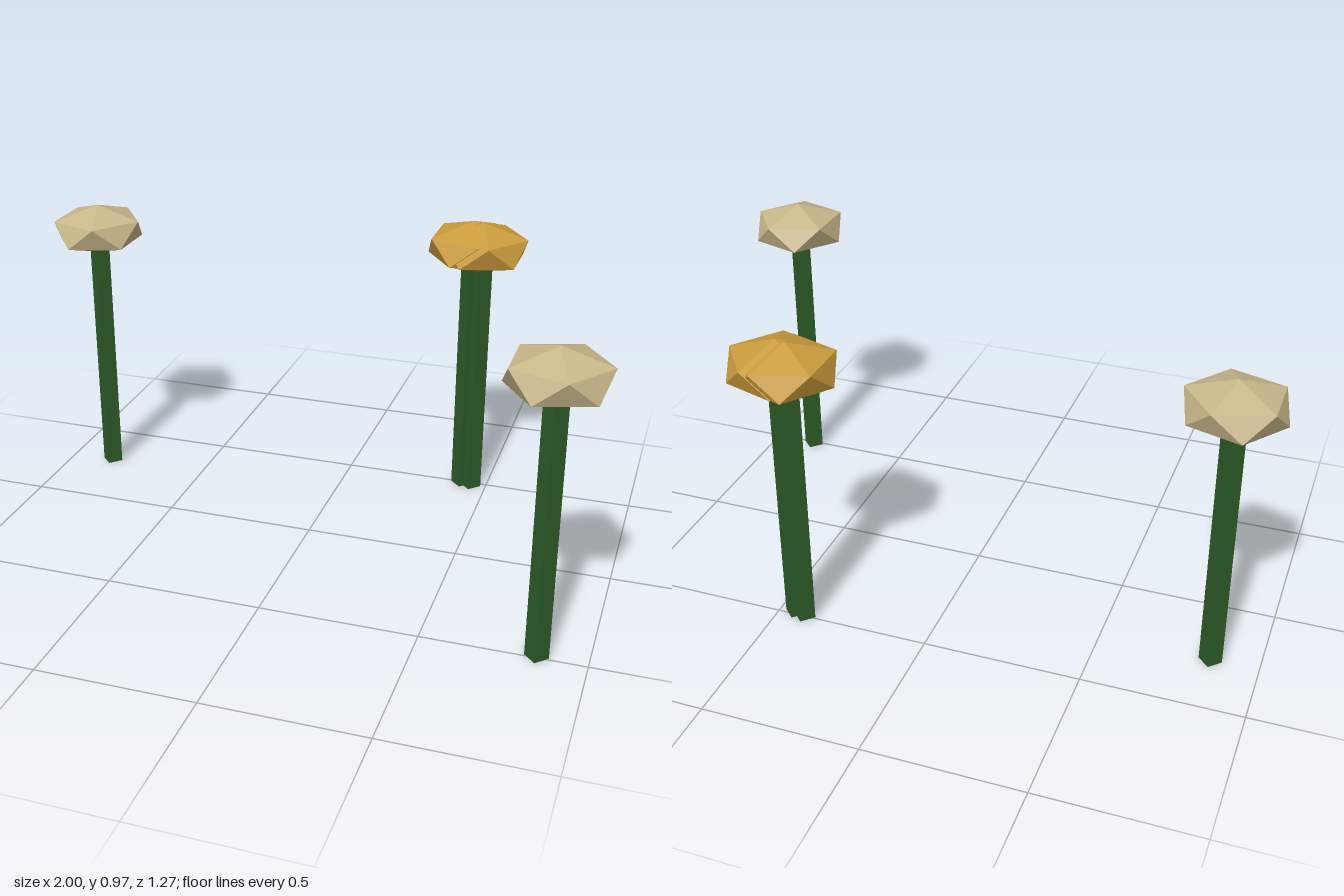
import * as THREE from 'three';

export function createModel() {
  const model = new THREE.Group();
  model.name = 'flowers';

  const mat = (name, color) => {
    const m = new THREE.MeshStandardMaterial({ color, flatShading: true });
    m.name = name;
    return m;
  };
  const green = mat('stem green', 0x2d5a27);
  const cream = mat('cream', 0xc8b78a);
  const gold = mat('gold', 0xcc9c3c);

  // Four-sided stem with its corners on the x and z axes
  const stemHeight = 0.85;
  const stemGeo = new THREE.CylinderGeometry(0.036, 0.036, stemHeight, 4);
  stemGeo.translate(0, stemHeight / 2, 0);

  // Squashed icosahedron head, turned to stand on one of its corners
  const golden = (1 + Math.sqrt(5)) / 2;
  const headGeo = new THREE.IcosahedronGeometry(0.1675, 0);
  headGeo.rotateZ(-Math.atan(1 / golden));
  headGeo.scale(1, 0.5, 1);
  headGeo.translate(0, 0.887, 0);

  const addFlower = (name, x, z, headMaterial) => {
    const flower = new THREE.Group();
    flower.name = name;
    const stem = new THREE.Mesh(stemGeo, green);
    stem.name = 'stem';
    const head = new THREE.Mesh(headGeo, headMaterial);
    head.name = 'flowerHead';
    flower.add(stem, head);
    flower.position.set(x, 0, z);
    model.add(flower);
  };

  addFlower('rightCreamFlower', -0.85, -0.278, cream);
  addFlower('leftCreamFlower', 0.85, 0.493, cream);
  // Two gold flowers grown into each other
  addFlower('goldFlowerBack', 0.411, -0.494, gold);
  addFlower('goldFlowerFront', 0.446, -0.485, gold);

  return model;
}
